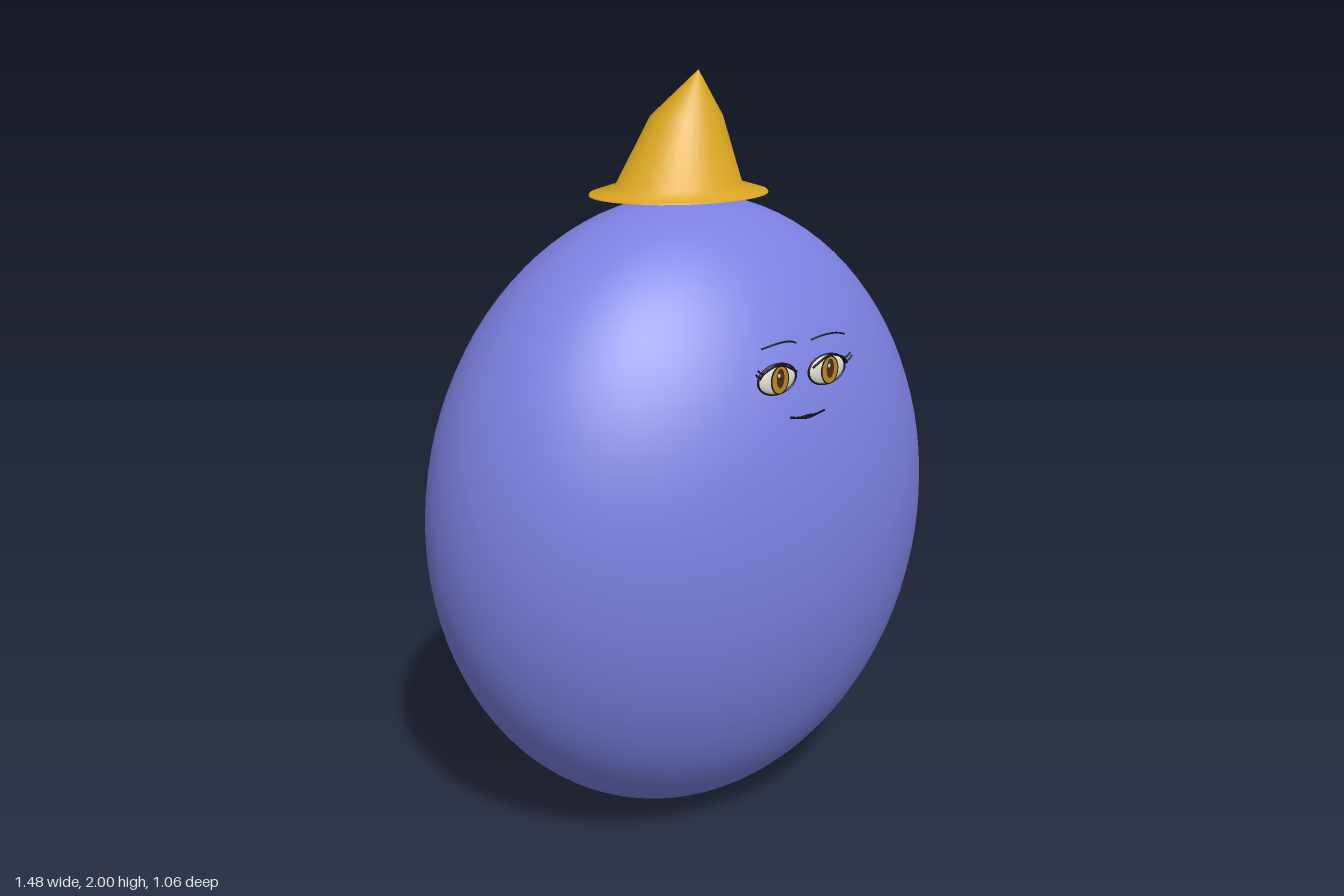
import * as THREE from 'three';

const mat = (name, color) => {
  const m = new THREE.MeshStandardMaterial({ color });
  m.name = name;
  return m;
};

// Surface through elliptical rings [y, centreX, centreZ, radiusX, radiusZ]
function loft(rings, n) {
  const pos = [], index = [];
  for (const [y, cx, cz, rx, rz] of rings)
    for (let i = 0; i < n; i++) {
      const t = (i / n) * Math.PI * 2;
      pos.push(cx + rx * Math.cos(t), y, cz + rz * Math.sin(t));
    }
  for (let r = 0; r < rings.length - 1; r++)
    for (let i = 0; i < n; i++) {
      const a = r * n + i, b = r * n + ((i + 1) % n);
      index.push(a, a + n, b, b, a + n, b + n);
    }
  const g = new THREE.BufferGeometry();
  g.setAttribute('position', new THREE.Float32BufferAttribute(pos, 3));
  g.setIndex(index);
  g.computeVertexNormals();
  return g;
}

export function createModel() {
  const model = new THREE.Group();
  const blue = mat('periwinkle', 0x7b80e0);
  const gold = mat('gold', 0xdaa520);
  const white = mat('eyeWhite', 0xe9e4da);
  const amber = mat('irisAmber', 0xb98a22);
  const brown = mat('pupilBrown', 0x4a2c14);
  const black = mat('lineBlack', 0x14121a);

  const add = (parent, name, geo, material, p = [0, 0, 0], s = [1, 1, 1]) => {
    const m = new THREE.Mesh(geo, material);
    m.name = name;
    m.position.set(...p);
    m.scale.set(...s);
    parent.add(m);
    return m;
  };
  const stroke = (parent, name, pts, r) => add(parent, name, new THREE.TubeGeometry(
    new THREE.CatmullRomCurve3(pts.map(p => new THREE.Vector3(...p))), 16, r, 6), black);

  // Egg-shaped body
  add(model, 'body', new THREE.SphereGeometry(1, 72, 48), blue, [0, 0.848, 0], [0.742, 0.843, 0.531]);

  // Pointed hat with flared brim and a tip leaning to its left
  const hat = new THREE.Group();
  hat.name = 'hat';
  model.add(hat);
  add(hat, 'hatCone', loft([
    [1.692, 0, -0.018, 0.246, 0.208],
    [1.697, 0, -0.018, 0.244, 0.206],
    [1.718, 0, -0.018, 0.173, 0.147],
    [1.888, 0.022, -0.015, 0.097, 0.086],
    [2.0, 0.06, -0.015, 0.0005, 0.0005],
  ], 40), gold);
  add(hat, 'brimUnderside', new THREE.CircleGeometry(1, 40).rotateX(Math.PI / 2), gold,
    [0, 1.692, -0.018], [0.246, 1, 0.208]);

  // Eyes, lashes and brows, mirrored
  const ball = new THREE.SphereGeometry(1, 32, 16);
  const disc = new THREE.CircleGeometry(1, 32);
  for (const s of [1, -1]) {
    const eye = new THREE.Group();
    eye.name = s > 0 ? 'leftEye' : 'rightEye';
    eye.position.set(s * 0.081, 1.308, 0);
    model.add(eye);
    add(eye, 'eyeball', ball, white, [0, 0, 0.463], [0.059, 0.037, 0.012]);
    add(eye, 'eyeOutline', new THREE.TorusGeometry(1, 0.05, 6, 40), black, [0, 0, 0.466], [0.06, 0.038, 0.06]);
    add(eye, 'irisRim', disc, black, [0, 0, 0.4765], [0.029, 0.036, 1]);
    add(eye, 'iris', disc, amber, [0, 0, 0.4775], [0.025, 0.033, 1]);
    add(eye, 'pupil', disc, brown, [0, 0.004, 0.4785], [0.012, 0.024, 1]);
    add(eye, 'glint', disc, white, [-0.005, 0.012, 0.4795], [0.004, 0.005, 1]);
    stroke(eye, 'upperLid', [[-s * 0.056, 0.012, 0.474], [0, 0.037, 0.476], [s * 0.05, 0.022, 0.474], [s * 0.062, 0.008, 0.472]], 0.003);
    for (const [x, y, dx, dy] of [[0.048, 0.022, 0.022, 0.012], [0.056, 0.012, 0.02, 0.014]])
      stroke(eye, 'lash', [[s * x, y, 0.474], [s * (x + dx * 0.6), y + dy * 0.4, 0.475], [s * (x + dx), y + dy, 0.475]], 0.0022);
    stroke(model, s > 0 ? 'leftBrow' : 'rightBrow',
      [[s * 0.024, 1.389, 0.467], [s * 0.05, 1.398, 0.476], [s * 0.09, 1.4, 0.48], [s * 0.135, 1.389, 0.467]], 0.0022);
  }

  // Mouth: thin smile with a thicker middle
  stroke(model, 'mouth', [[-0.057, 1.213, 0.487], [-0.025, 1.208, 0.489], [0, 1.21, 0.49], [0.025, 1.208, 0.489], [0.057, 1.213, 0.487]], 0.0028);
  stroke(model, 'lowerLip', [[-0.026, 1.207, 0.489], [0, 1.204, 0.49], [0.026, 1.207, 0.489]], 0.0025);
  return model;
}
